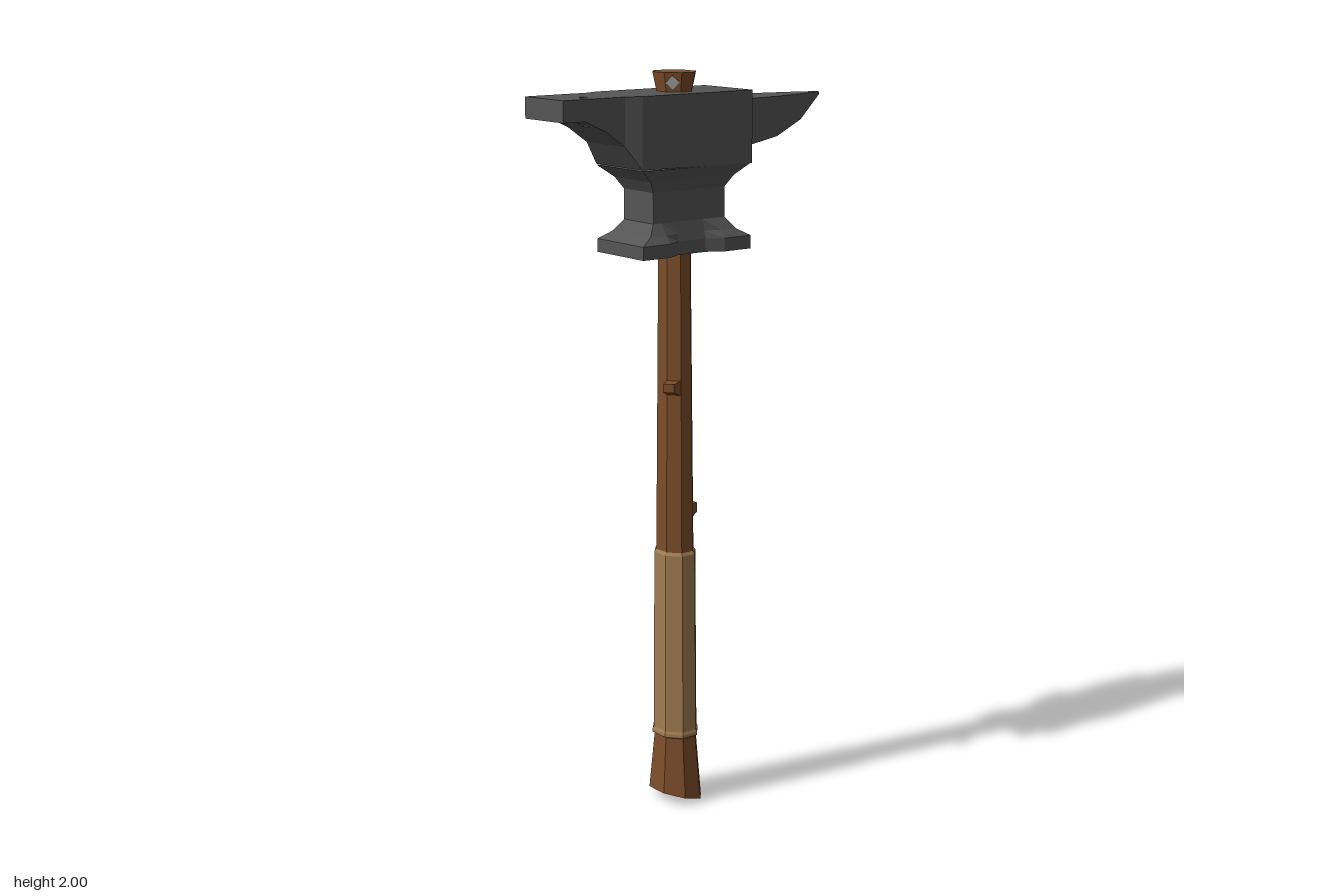
import * as THREE from 'three';
import { mergeGeometries } from 'three/addons/utils/BufferGeometryUtils.js';

const V = (x, y, z) => new THREE.Vector3(x, y, z);
const material = (color) => new THREE.MeshStandardMaterial({ color, flatShading: true });
const AXIS_X = -0.042; // centre line of handle and foot

// Closed faceted skin through rings of points, capped at both ends
function loft(rings) {
  const out = [];
  const tri = (...pts) => pts.forEach((p) => out.push(p.x, p.y, p.z));
  const n = rings[0].length;
  for (let k = 0; k < rings.length - 1; k++) {
    for (let i = 0; i < n; i++) {
      const j = (i + 1) % n;
      const a = rings[k][i], b = rings[k][j], c = rings[k + 1][j], d = rings[k + 1][i];
      tri(a, d, c);
      tri(a, c, b);
    }
  }
  const centre = (r) => r.reduce((s, p) => s.add(p), V(0, 0, 0)).divideScalar(n);
  const first = rings[0], last = rings[rings.length - 1];
  for (let i = 0; i < n; i++) {
    const j = (i + 1) % n;
    tri(centre(first), first[i], first[j]);
    tri(centre(last), last[j], last[i]);
  }
  const g = new THREE.BufferGeometry();
  g.setAttribute('position', new THREE.Float32BufferAttribute(out, 3));
  g.computeVertexNormals();
  return g;
}

// Octagon with flats facing the axes; a and b are half widths in x and z
function octagon([y, a, b]) {
  const k = 0.414;
  return [[1, k], [k, 1], [-k, 1], [-1, k], [-1, -k], [-k, -1], [k, -1], [1, -k]]
    .map(([u, v]) => V(AXIS_X + u * a, y, v * b));
}

// Anvil face and heel: prisms between stations [x, underside y, half width]
function anvilBody() {
  const top = 1.95;
  const stations = [[-0.45, 1.895, 0.083], [-0.384, 1.895, 0.083], [-0.32, 1.866, 0.083],
    [-0.262, 1.825, 0.083], [-0.22, 1.765, 0.1], [0.138, 1.76, 0.1]];
  const parts = [];
  for (let i = 0; i < stations.length - 1; i++) {
    const [x0, y0, h0] = stations[i], [x1, y1, h1] = stations[i + 1];
    const quad = [[x0, -h0], [x1, -h1], [x1, h1], [x0, h0]];
    const plan = new THREE.Shape(quad.map(([x, y]) => new THREE.Vector2(x, y)));
    if (i === 1) { // square tool hole through the heel
      const hole = [[-0.365, -0.046], [-0.365, -0.02], [-0.343, -0.02], [-0.343, -0.046]];
      plan.holes.push(new THREE.Path(hole.map(([x, y]) => new THREE.Vector2(x, y))));
    }
    const g = new THREE.ExtrudeGeometry(plan, { depth: 1, bevelEnabled: false });
    g.rotateX(-Math.PI / 2);
    const p = g.attributes.position;
    for (let v = 0; v < p.count; v++) {
      const t = (p.getX(v) - x0) / (x1 - x0);
      p.setY(v, p.getY(v) > 0.5 ? top : y0 + (y1 - y0) * t);
    }
    g.computeVertexNormals();
    parts.push(g);
  }
  return mergeGeometries(parts);
}

// Waist and foot ring, with a recess of depth n in the long sides
function footRing([y, w, d, n]) {
  const half = [[w, d], [0.09, d], [0.045, d - n], [-0.045, d - n], [-0.09, d], [-w, d]];
  return [...half, ...half.map(([x, z]) => [-x, -z])].map(([x, z]) => V(AXIS_X + x, y, z));
}

// Horn section: rectangle hanging from the flat top line
function hornRing([x, bottom, h]) {
  const top = 1.925;
  return [V(x, top, h), V(x, top, -h), V(x, bottom, -h), V(x, bottom, h)];
}

// Cut-off branch: grows out along local +x, its underside rising
function branchStub(length, height, width) {
  const ring = (x, bottom, h) => [V(x, height, h), V(x, height, -h), V(x, bottom, -h), V(x, bottom, h)];
  return loft([ring(-0.02, -0.012, width * 0.6), ring(length, height * 0.35, width * 0.45)]);
}

export function createModel() {
  const model = new THREE.Group();
  const iron = material(0x555555);
  const wood = material(0x7c4d29);
  const leather = material(0xa17c51);
  const steel = material(0x9a9a9a);
  const add = (name, geometry, mat, parent = model) => {
    const mesh = new THREE.Mesh(geometry, mat);
    mesh.name = name;
    parent.add(mesh);
    return mesh;
  };

  // Anvil head
  const anvil = new THREE.Group();
  anvil.name = 'anvilHead';
  model.add(anvil);
  add('anvilBody', anvilBody(), iron, anvil);
  add('anvilFoot', loft([
    [1.535, 0.177, 0.1, 0.025], [1.57, 0.177, 0.1, 0.025], [1.59, 0.14, 0.082, 0.012],
    [1.62, 0.117, 0.063, 0], [1.7, 0.117, 0.063, 0], [1.73, 0.136, 0.078, 0], [1.762, 0.177, 0.1, 0],
  ].map(footRing)), iron, anvil);
  add('anvilHorn', loft([
    [0.13, 1.8, 0.075], [0.255, 1.82, 0.062], [0.36, 1.857, 0.036], [0.45, 1.918, 0.007],
  ].map(hornRing)), iron, anvil);

  // Handle with a slanted butt end
  const handleRings = [[0, 0.065, 0.08], [0.2, 0.051, 0.061], [0.72, 0.046, 0.055],
    [1.535, 0.039, 0.047], [1.95, 0.042, 0.05], [2, 0.052, 0.06]].map(octagon);
  handleRings[0].forEach((p) => { p.y = 0.0163 - 0.25 * (p.x - AXIS_X); });
  add('handle', loft(handleRings), wood);

  // Grip wrap with a rolled lower edge
  add('grip', loft([[0.19, 0.051, 0.061], [0.194, 0.057, 0.067], [0.203, 0.057, 0.067], [0.21, 0.054, 0.064],
    [0.712, 0.051, 0.06], [0.722, 0.045, 0.054]].map(octagon)), leather);

  // Branch stubs
  const upper = add('upperBranchStub', branchStub(0.05, 0.035, 0.034), wood);
  upper.position.set(-0.069, 1.158, 0.032);
  upper.rotation.y = -Math.PI * 0.8;
  const lower = add('lowerBranchStub', branchStub(0.02, 0.04, 0.034), wood);
  lower.position.set(0.002, 0.8, 0);

  // Nail driven diagonally through the handle top
  const nail = new THREE.Group();
  nail.name = 'nail';
  const shaft = add('nailShaft', new THREE.CylinderGeometry(0.008, 0.008, 0.13, 4), steel, nail);
  shaft.position.y = -0.005;
  const tip = add('nailTip', new THREE.ConeGeometry(0.008, 0.03, 4), steel, nail);
  tip.position.y = 0.075;
  const head = add('nailHead', new THREE.BoxGeometry(0.027, 0.007, 0.027), steel, nail);
  head.position.y = -0.073;
  nail.position.set(-0.038, 1.975, -0.004);
  nail.quaternion.setFromUnitVectors(V(0, 1, 0), V(0.66, 0, -0.75).normalize());
  model.add(nail);

  return model;
}
